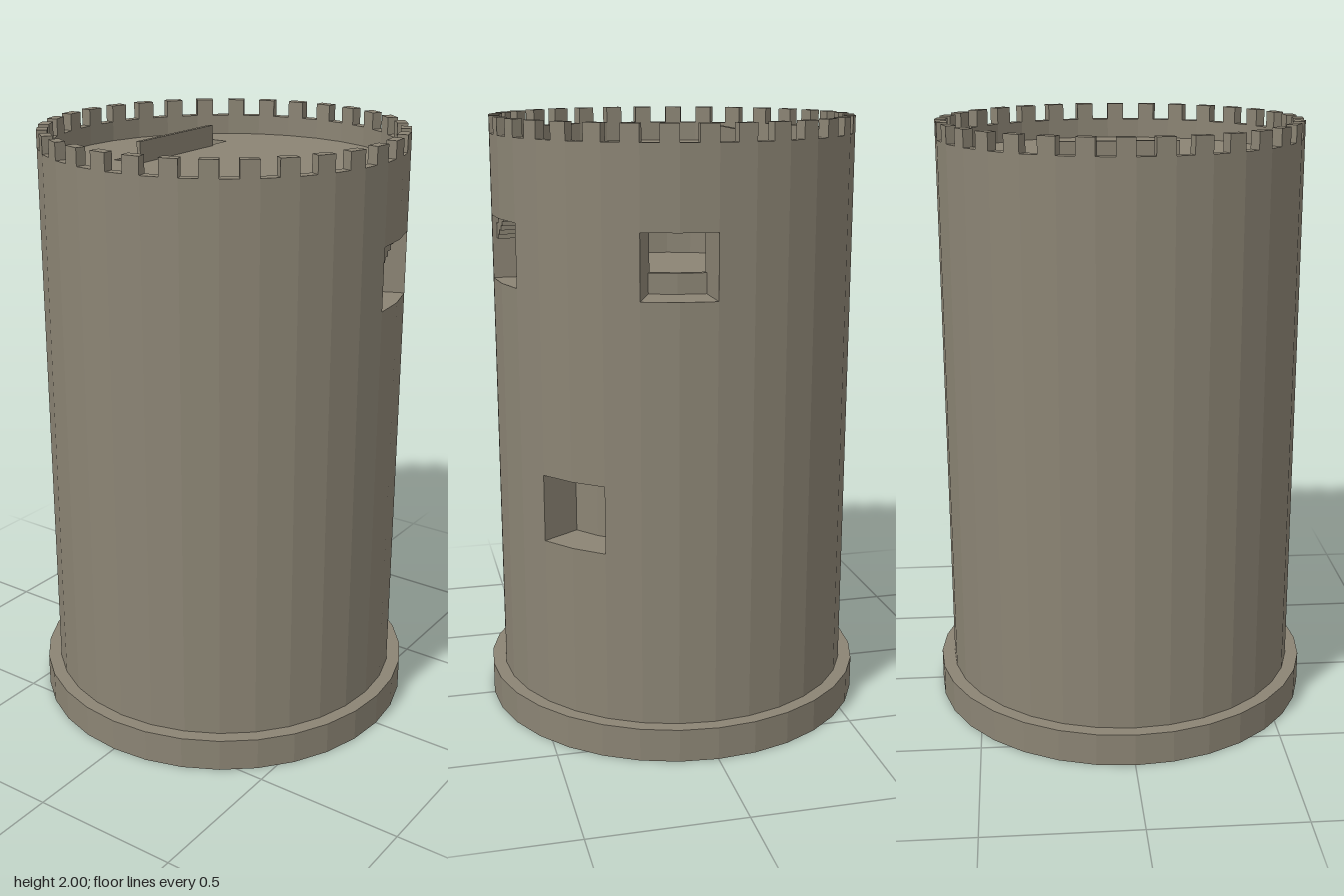
import * as THREE from 'three';

const SIDES = 32;
const STEP = (Math.PI * 2) / SIDES;

export function createModel() {
  const tower = new THREE.Group();
  tower.name = 'tower';
  const stone = new THREE.MeshStandardMaterial({ color: 0x8b8474 });
  stone.name = 'stone';

  const add = (name, geometry, parent = tower) => {
    const mesh = new THREE.Mesh(geometry, stone);
    mesh.name = name;
    parent.add(mesh);
    return mesh;
  };
  const group = (name) => {
    const g = new THREE.Group();
    g.name = name;
    tower.add(g);
    return g;
  };

  // Point on a 32-sided outline; f counts facets from the front towards +x
  const outline = (r, f) => {
    const within = f - Math.floor(f + 1e-6) - 0.5;
    const rr = (r * Math.cos(STEP / 2)) / Math.cos(within * STEP);
    return new THREE.Vector2(rr * Math.sin(f * STEP), -rr * Math.cos(f * STEP));
  };
  // Extrude a plan shape upwards from y0 to y1
  const raise = (shape, y0, y1) => {
    const g = new THREE.ExtrudeGeometry(shape, { depth: y1 - y0, bevelEnabled: false });
    g.rotateX(-Math.PI / 2);
    g.translate(0, y0, 0);
    return g;
  };
  // Arc of wall from facet f0 to f1
  const arc = (r0, r1, y0, y1, f0, f1) => {
    const stops = [f0];
    for (let f = Math.floor(f0 + 1e-6) + 1; f < f1 - 1e-6; f++) stops.push(f);
    stops.push(f1);
    const outer = stops.map((f) => outline(r1, f));
    const inner = stops.map((f) => outline(r0, f)).reverse();
    return raise(new THREE.Shape([...outer, ...inner]), y0, y1);
  };
  const circle = (r) => Array.from({ length: SIDES }, (_, i) => outline(r, i));
  const ring = (r0, r1, y0, y1) => {
    const shape = new THREE.Shape(circle(r1));
    shape.holes.push(new THREE.Path(circle(r0).reverse()));
    return raise(shape, y0, y1);
  };
  const disc = (r, y0, y1) => raise(new THREE.Shape(circle(r)), y0, y1);

  // Plinth and outer wall, with the window bands left open
  add('plinth', ring(0.58, 0.645, 0, 0.11));
  const wall = group('outerWall');
  add('lowerWall', ring(0.58, 0.6, 0.11, 0.675), wall);
  add('lowerWindowBand', arc(0.58, 0.6, 0.675, 0.895, 5, 35), wall);
  add('middleWall', ring(0.58, 0.6, 0.895, 1.48), wall);
  add('upperWindowBandCorner', arc(0.58, 0.6, 1.48, 1.685, 2, 6), wall);
  add('upperWindowBand', arc(0.58, 0.6, 1.48, 1.685, 8, 32), wall);
  add('upperWall', ring(0.58, 0.6, 1.685, 1.86), wall);
  add('parapet', ring(0.565, 0.6, 1.86, 1.945), wall);

  // Battlements
  const battlements = group('battlements');
  for (let i = 0; i < SIDES; i++) {
    add('merlon', arc(0.565, 0.6, 1.945, 2, i + 0.5, i + 1), battlements);
  }

  // Window linings reaching back to the inner core
  for (const [f, y0, y1] of [[0, 1.48, 1.685], [3, 0.675, 0.895], [6, 1.48, 1.685]]) {
    const lining = group('windowLining');
    add('sill', arc(0.455, 0.598, y0 - 0.015, y0, f, f + 2), lining);
    add('lintel', arc(0.455, 0.598, y1, y1 + 0.015, f, f + 2), lining);
    add('jamb', arc(0.455, 0.598, y0, y1, f - 0.06, f), lining);
    add('jamb', arc(0.455, 0.598, y0, y1, f + 2, f + 2.06), lining);
  }

  // Inner core with a room on top, open behind one window
  const core = group('core');
  add('coreWall', ring(0.44, 0.46, 0.02, 1.545), core);
  add('coreDoorBand', arc(0.44, 0.46, 1.545, 1.685, 8, 38), core);
  add('coreTop', ring(0.44, 0.46, 1.685, 1.85), core);
  add('groundFloor', disc(0.475, 0, 0.02), core);
  add('roomFloor', disc(0.45, 1.46, 1.48), core);

  // Spiral stair between core and wall
  const spiral = group('spiralStair');
  const turn = 0.18;
  const rise = 0.0159;
  for (let i = -100; i < 14; i++) {
    const soffit = 1.61 + i * rise;
    if (soffit < 0.01) continue;
    add('spiralStep', arc(0.455, 0.585, soffit, Math.min(soffit + 0.05, 1.85), i * turn, (i + 1) * turn), spiral);
  }

  // Roof deck with the stairwell cut out
  const deck = new THREE.Shape(circle(0.575));
  deck.holes.push(new THREE.Path([
    new THREE.Vector2(-0.17, 0.225), new THREE.Vector2(-0.17, 0.32),
    new THREE.Vector2(0.33, 0.32), new THREE.Vector2(0.33, 0.225),
  ]));
  add('roofDeck', raise(deck, 1.845, 1.88));
  const guard = add('stairwellGuard', new THREE.BoxGeometry(0.4, 0.1, 0.014));
  guard.position.set(0.03, 1.9, -0.218);

  // Straight stair from the room up to the roof
  const stair = group('roofStair');
  const count = 25;
  const run = 0.455 / count;
  for (let i = 0; i < count; i++) {
    const step = add('roofStep', new THREE.BoxGeometry(run, 0.05, 0.085), stair);
    step.position.set(-0.135 + run * (i + 0.5), 1.84 - (count - 1 - i) * run * 0.86, -0.272);
  }
  return tower;
}
